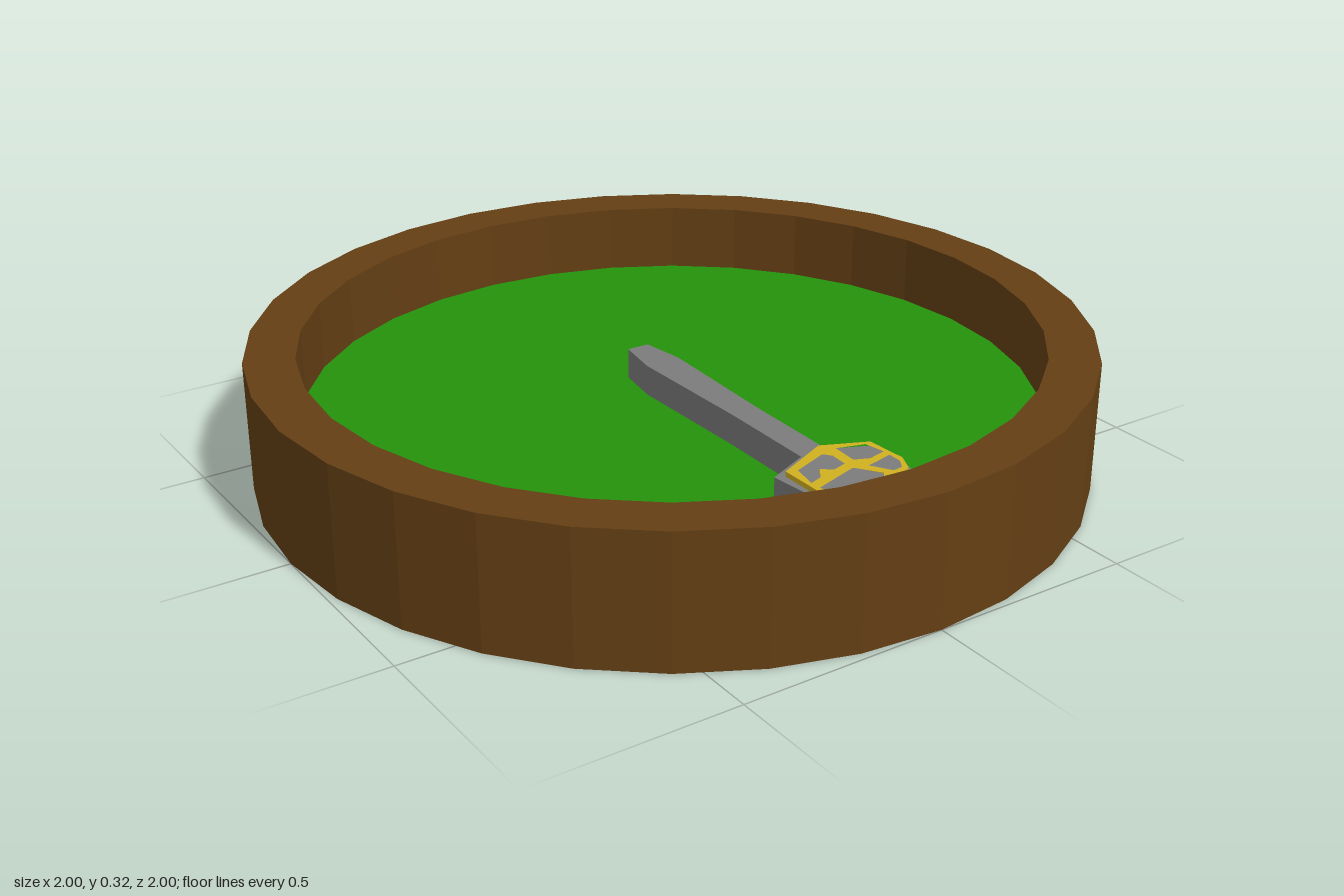
import * as THREE from 'three';

const FLOOR = 0.15, TOP = 0.225;

// Named flat-shaded mesh of one colour
function part(name, geometry, color) {
  const material = new THREE.MeshStandardMaterial({ color, flatShading: true });
  const mesh = new THREE.Mesh(geometry, material);
  mesh.name = name;
  return mesh;
}

// Upright slab from a plan outline of [x, z] points, with optional holes
function slab(outline, y0, y1, holes = []) {
  const toPoints = (list) => list.map(([x, z]) => new THREE.Vector2(x, -z));
  const shape = new THREE.Shape(toPoints(outline));
  shape.holes = holes.map((hole) => new THREE.Path(toPoints(hole)));
  const geometry = new THREE.ExtrudeGeometry(shape, { depth: y1 - y0, bevelEnabled: false });
  return geometry.rotateX(-Math.PI / 2).translate(0, y0, 0);
}

// Full outline from its right half
const mirrored = (half) => [...half, ...half.map(([x, z]) => [-x, z]).reverse()];

export function createModel() {
  const group = new THREE.Group();

  // Round tray: underside, outer wall, rim and inner wall
  const profile = [[0, 0], [1, 0], [1, 0.32], [0.88, 0.32], [0.88, FLOOR - 0.01]]
    .map(([r, y]) => new THREE.Vector2(r, y));
  group.add(part('tray', new THREE.LatheGeometry(profile, 32), 0x643f14));

  // Green floor inside the tray
  const floor = new THREE.CircleGeometry(0.88, 32).rotateX(-Math.PI / 2).translate(0, FLOOR, 0);
  group.add(part('floor', floor, 0x24920c));

  // Pointer lying on the floor: tapered shaft and five-sided head
  const shaft = mirrored([[0.028, -0.15], [0.045, -0.04], [0.035, 0.3], [0.035, 0.57]]);
  group.add(part('pointerShaft', slab(shaft, FLOOR, TOP), 0x7c7c7c));
  const head = mirrored([[0.03, 0.555], [0.142, 0.605], [0.117, 0.82]]);
  group.add(part('pointerHead', slab(head, FLOOR, TOP), 0x7c7c7c));

  // Raised gold openwork on the head
  const outline = [
    [-0.12, 0.615], [0.015, 0.553], [0.122, 0.6], [0.13, 0.7], [0.11, 0.745], [0.07, 0.758],
    [-0.065, 0.79], [-0.1, 0.775], [-0.118, 0.73],
  ];
  const openings = [
    [[-0.095, 0.625], [-0.005, 0.592], [0.01, 0.61], [0.008, 0.655], [-0.03, 0.665],
      [-0.052, 0.645], [-0.075, 0.678], [-0.107, 0.688]],
    [[0.038, 0.585], [0.105, 0.605], [0.115, 0.655], [0.07, 0.665], [0.035, 0.65]],
    [[0.045, 0.69], [0.115, 0.675], [0.115, 0.71], [0.1, 0.735], [0.075, 0.738]],
    [[-0.105, 0.715], [0.01, 0.68], [0.05, 0.735], [0.035, 0.755], [-0.065, 0.78], [-0.095, 0.76]],
  ];
  group.add(part('goldOpenwork', slab(outline, TOP - 0.005, TOP + 0.012, openings), 0xd0b020));

  return group;
}
